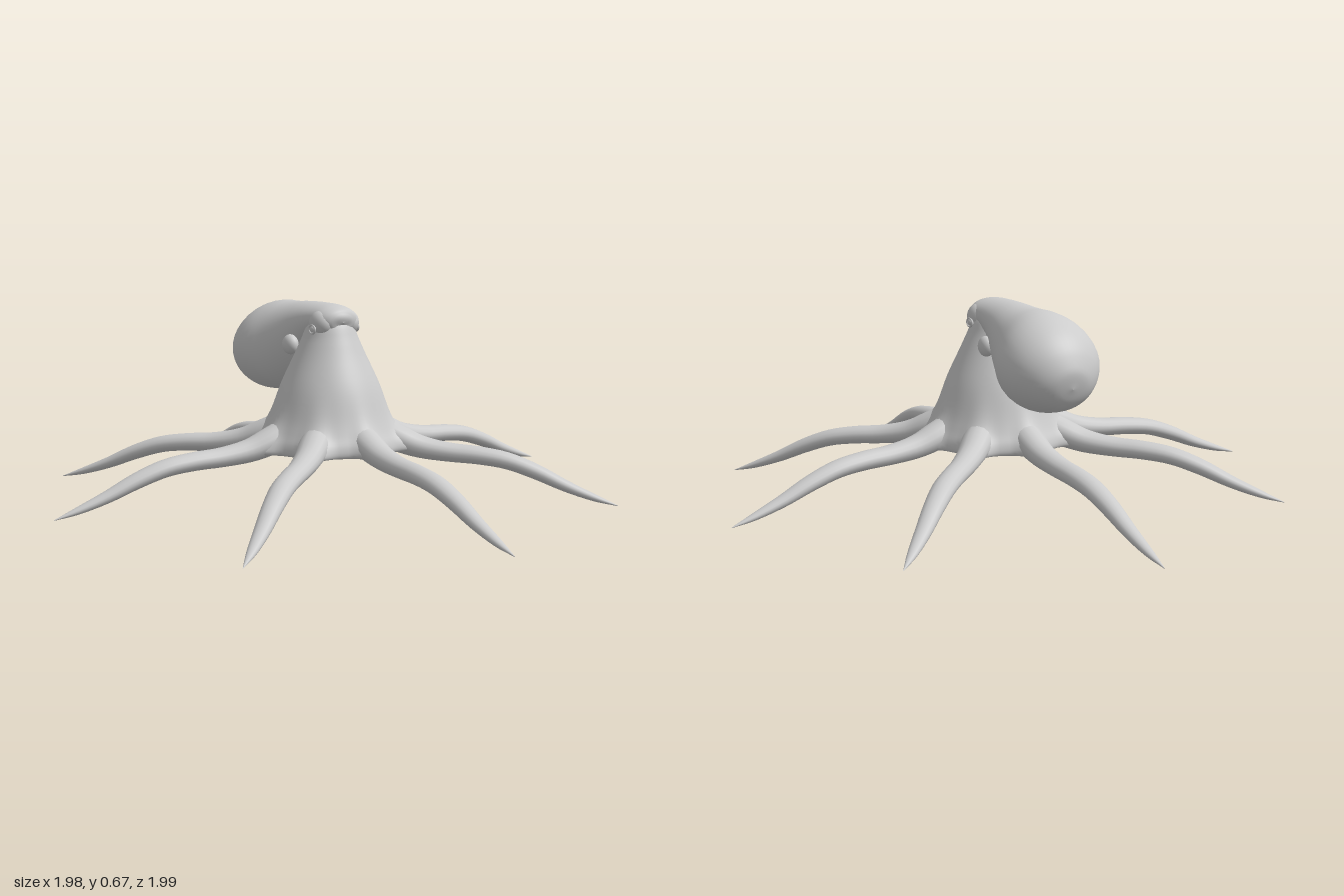
import * as THREE from 'three';

const UP = new THREE.Vector3(0, 1, 0);
const material = new THREE.MeshStandardMaterial({ color: 0xcccccc, side: THREE.DoubleSide });

// Smooth curve whose parameter follows the index of its points
const spline = (points) =>
  new THREE.CatmullRomCurve3(points.map((p) => new THREE.Vector3(...p)), false, 'catmullrom', 0.5);

// Skin a list of closed rings that all have the same number of points
function skin(name, rings) {
  const n = rings[0].length;
  const index = [];
  for (let i = 0; i < rings.length - 1; i++) {
    for (let j = 0; j < n; j++) {
      const k = (j + 1) % n;
      const a = i * n + j, b = a + n, c = (i + 1) * n + k, d = i * n + k;
      index.push(a, b, c, a, c, d);
    }
  }
  const geometry = new THREE.BufferGeometry().setFromPoints(rings.flat());
  geometry.setIndex(index);
  geometry.computeVertexNormals();
  const mesh = new THREE.Mesh(geometry, material);
  mesh.name = name;
  return mesh;
}

// Sweep an ellipse along a path; radii are [across, upright] per path point
function sweep(name, path, radii, steps, sides) {
  const centre = spline(path);
  const size = spline(radii.map(([a, b]) => [a, b, 0]));
  const rings = [];
  for (let i = 0; i <= steps; i++) {
    const t = i / steps;
    const c = centre.getPoint(t), r = size.getPoint(t), tangent = centre.getTangent(t);
    const across = UP.clone().cross(tangent).normalize();
    const upright = tangent.clone().cross(across);
    rings.push(Array.from({ length: sides }, (_, j) => {
      const a = (j / sides) * Math.PI * 2;
      return c.clone()
        .addScaledVector(across, Math.sin(a) * Math.max(r.x, 0.0005))
        .addScaledVector(upright, Math.cos(a) * Math.max(r.y, 0.0005));
    }));
  }
  return skin(name, rings);
}

// Conical body and web; the hem flares out toward each of the eight arms
function makeBody() {
  const rows = [ // height, half width, half depth, flare
    [0.665, 0.003, 0.003, 0], [0.62, 0.07, 0.07, 0], [0.56, 0.095, 0.1, 0], [0.5, 0.122, 0.127, 0],
    [0.4, 0.168, 0.175, 0], [0.3, 0.203, 0.208, 0.03], [0.25, 0.225, 0.228, 0.09],
    [0.215, 0.242, 0.246, 0.2], [0.187, 0.247, 0.25, 0.25], [0.178, 0.232, 0.235, 0.18],
    [0.2, 0.17, 0.17, 0.02], [0.235, 0.08, 0.08, 0], [0.245, 0.002, 0.002, 0],
  ];
  const shape = spline(rows.map(([y, w, d]) => [w, y, d]));
  const flare = spline(rows.map((r) => [r[3], 0, 0]));
  const steps = 48, sides = 96, rings = [];
  for (let i = 0; i <= steps; i++) {
    const s = shape.getPoint(i / steps), f = flare.getPoint(i / steps).x;
    rings.push(Array.from({ length: sides }, (_, j) => {
      const a = (j / sides) * Math.PI * 2;
      const k = 1 + f * Math.pow(0.5 + 0.5 * Math.cos(8 * a), 2);
      return new THREE.Vector3(Math.sin(a) * s.x * k, s.y, Math.cos(a) * s.z * k);
    }));
  }
  return skin('body', rings);
}

// Tapering arm that slopes off the web, levels out and drops to its tip
function makeArm(name, tipX, tipZ, tipY) {
  const length = Math.hypot(tipX, tipZ);
  const angle = Math.round(Math.atan2(tipX, tipZ) / (Math.PI / 4)) * (Math.PI / 4);
  const root = new THREE.Vector2(Math.sin(angle), Math.cos(angle)).multiplyScalar(0.16);
  const profile = [ // distance out, height, half width, half height
    [0.16, 0.25, 0.05, 0.05], [0.24, 0.215, 0.053, 0.047], [0.32, 0.187, 0.046, 0.039],
    [0.42, 0.171, 0.041, 0.033], [0.52, 0.163, 0.04, 0.031], [0.62, 0.147, 0.038, 0.029],
    [0.72, 0.112, 0.033, 0.026], [0.82, 0.067, 0.026, 0.02], [0.92, 0.029, 0.016, 0.012],
    [1, 0.004, 0.001, 0.001],
  ];
  const path = profile.map(([d, y]) => {
    const t = (d - 0.16) / 0.84;
    return [
      THREE.MathUtils.lerp(root.x, tipX, t),
      y + tipY * t,
      THREE.MathUtils.lerp(root.y, tipZ, t),
    ];
  });
  const mesh = sweep(name, path, profile.map((p) => [p[2], p[3]]), 36, 16);
  mesh.userData.length = length;
  return mesh;
}

// Head running back into the drooping, bulbous mantle
function makeMantle() {
  const rows = [ // z, y, half width, half height
    [0.085, 0.615, 0.001, 0.001], [0.077, 0.617, 0.05, 0.033], [0.045, 0.62, 0.078, 0.05],
    [-0.03, 0.615, 0.082, 0.062], [-0.12, 0.588, 0.098, 0.092], [-0.22, 0.541, 0.132, 0.14],
    [-0.31, 0.507, 0.166, 0.158], [-0.39, 0.478, 0.162, 0.144], [-0.45, 0.457, 0.123, 0.107],
    [-0.487, 0.446, 0.068, 0.06], [-0.497, 0.443, 0.001, 0.001],
  ];
  return sweep('mantle', rows.map(([z, y]) => [0, y, z]), rows.map((r) => [r[2], r[3]]), 50, 40);
}

// Ellipsoid used for the brows, eyes and siphons
function blob(name, position, radii) {
  const mesh = new THREE.Mesh(new THREE.SphereGeometry(1, 20, 14), material);
  mesh.name = name;
  mesh.position.set(...position);
  mesh.scale.set(...radii);
  return mesh;
}

export function createModel() {
  const model = new THREE.Group();
  model.name = 'octopus';
  model.add(makeBody(), makeMantle());

  // Front and back arms, then the mirrored pairs
  model.add(makeArm('frontArm', 0, 0.99, 0), makeArm('backArm', 0, -1, 0));
  for (const [side, s] of [['left', 1], ['right', -1]]) {
    model.add(
      makeArm(`${side}FrontArm`, 0.725 * s, 0.67, 0),
      makeArm(`${side}SideArm`, 0.99 * s, -0.075, 0.022),
      makeArm(`${side}BackArm`, 0.7 * s, -0.71, 0.024),
    );

    // Raised brow, lidded eye and siphon
    model.add(
      blob(`${side}Brow`, [0.052 * s, 0.61, 0.025], [0.038, 0.045, 0.05]),
      blob(`${side}Eye`, [0.085 * s, 0.592, 0.025], [0.009, 0.012, 0.016]),
      blob(`${side}Siphon`, [0.096 * s, 0.53, -0.105], [0.026, 0.035, 0.035]),
    );
    const lid = new THREE.Mesh(new THREE.TorusGeometry(0.018, 0.004, 8, 24), material);
    lid.name = `${side}Eyelid`;
    lid.position.set(0.088 * s, 0.592, 0.025);
    lid.rotation.y = Math.PI / 2;
    lid.scale.y = 0.8;
    model.add(lid);
  }
  return model;
}
